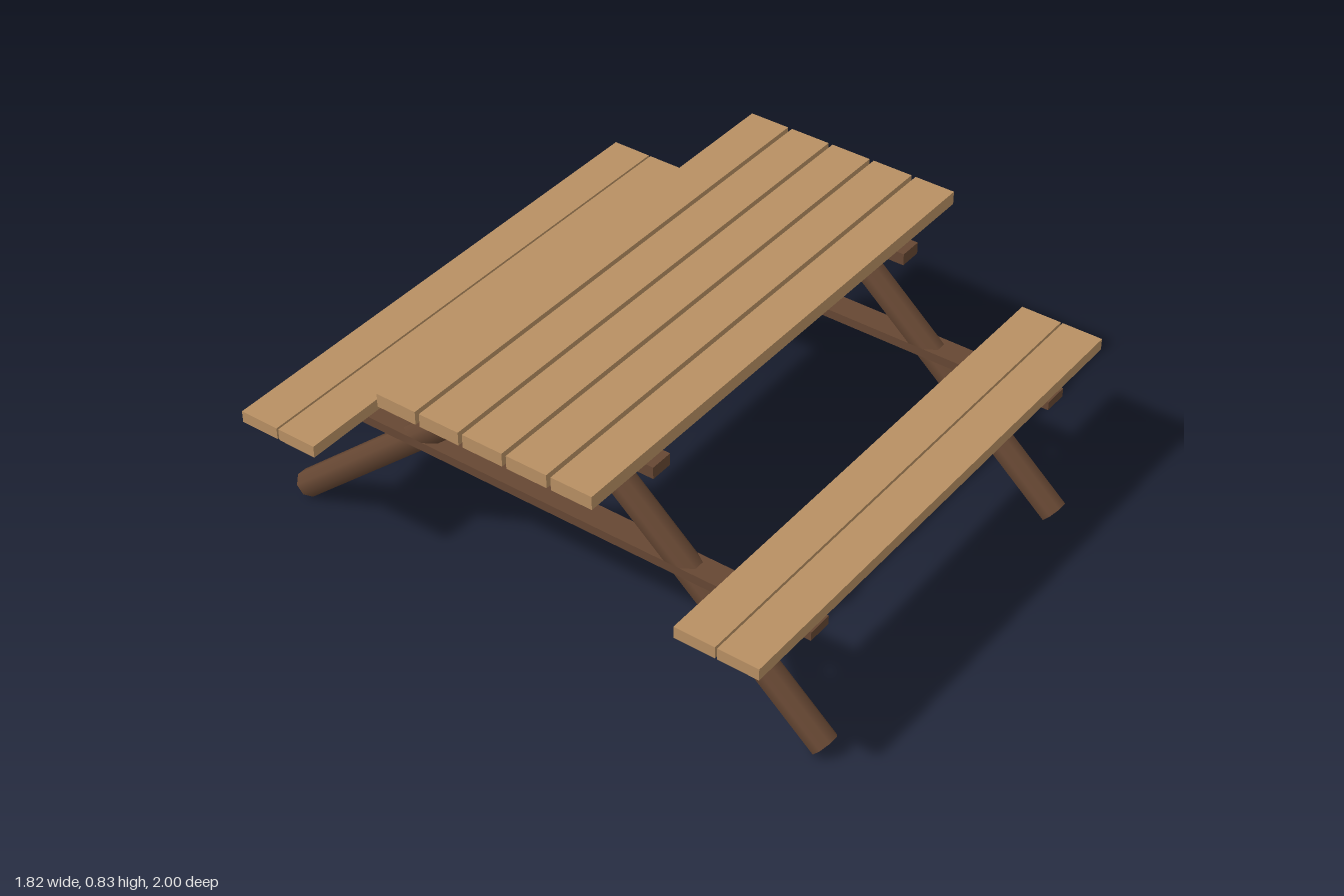
import * as THREE from 'three';

export function createModel() {
  const table = new THREE.Group();
  table.name = 'picnicTable';

  const plankWood = new THREE.MeshStandardMaterial({ color: 0xb89063 });
  plankWood.name = 'light plank wood';
  const frameWood = new THREE.MeshStandardMaterial({ color: 0x664733 });
  frameWood.name = 'dark frame wood';

  function addBox(name, size, position, material) {
    const mesh = new THREE.Mesh(new THREE.BoxGeometry(...size), material);
    mesh.name = name;
    mesh.position.set(...position);
    table.add(mesh);
  }

  // Round post with eight sides, its flats facing sideways
  function addLeg(name, bottom, top) {
    const axis = top.clone().sub(bottom);
    const geometry = new THREE.CylinderGeometry(0.046, 0.046, axis.length(), 8);
    geometry.rotateY(Math.PI / 8);
    const leg = new THREE.Mesh(geometry, frameWood);
    leg.name = name;
    leg.position.copy(bottom).add(top).multiplyScalar(0.5);
    leg.quaternion.setFromUnitVectors(new THREE.Vector3(0, 1, 0), axis.normalize());
    table.add(leg);
  }

  // Tabletop: five planks
  for (let i = -2; i <= 2; i++) {
    addBox('tabletopPlank', [1.82, 0.045, 0.14], [0, 0.8075, i * 0.155], plankWood);
  }

  // Benches: two planks on each side
  for (const side of [1, -1]) {
    for (const z of [0.72, 0.865]) {
      addBox('benchPlank', [1.82, 0.04, 0.138], [0, 0.49, side * z], plankWood);
    }
  }

  // Two end frames: crossbeams and splayed legs
  for (const x of [-0.63, 0.63]) {
    addBox('tabletopBeam', [0.078, 0.04, 0.81], [x, 0.765, 0], frameWood);
    addBox('benchBeam', [0.085, 0.03, 1.88], [x, 0.455, 0], frameWood);
    for (const side of [1, -1]) {
      addLeg(side > 0 ? 'frontLeg' : 'backLeg',
        new THREE.Vector3(x, 0.032, side * 0.972),
        new THREE.Vector3(x, 0.765, side * 0.13));
    }
  }

  return table;
}
